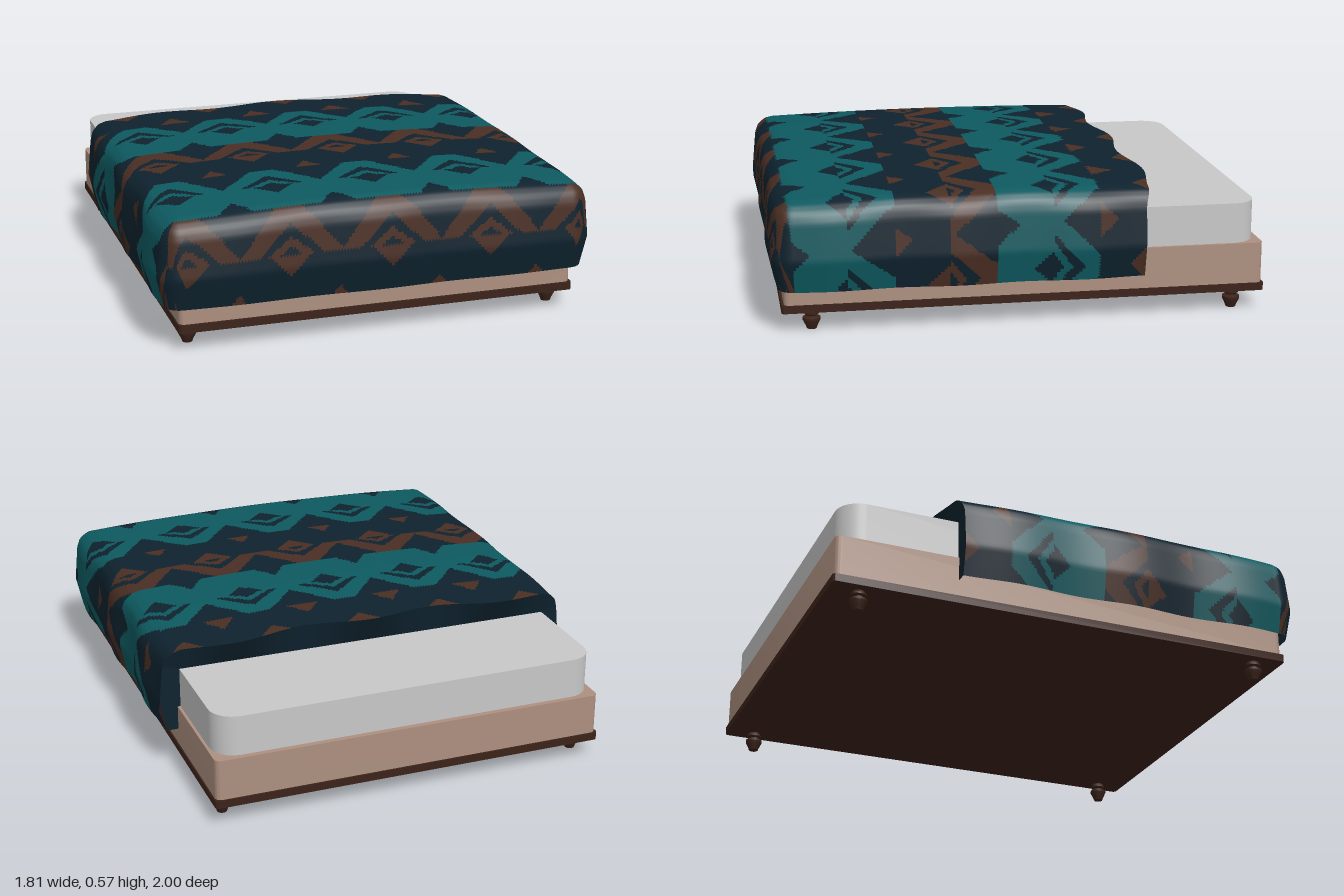
import * as THREE from 'three';
import { toCreasedNormals } from 'three/addons/utils/BufferGeometryUtils.js';

const mat = (name, color, side = THREE.FrontSide) => {
  const m = new THREE.MeshStandardMaterial({ color, side });
  m.name = name;
  return m;
};

// Upright slab with rounded corners in plan
function slab(name, material, halfX, z0, z1, y0, y1, r) {
  const s = new THREE.Shape();
  const h = (z1 - z0) / 2, w = halfX;
  s.moveTo(-w + r, -h);
  s.lineTo(w - r, -h);
  s.absarc(w - r, -h + r, r, -Math.PI / 2, 0);
  s.absarc(w - r, h - r, r, 0, Math.PI / 2);
  s.absarc(-w + r, h - r, r, Math.PI / 2, Math.PI);
  s.absarc(-w + r, -h + r, r, Math.PI, Math.PI * 1.5);
  let g = new THREE.ExtrudeGeometry(s, { depth: y1 - y0, bevelEnabled: false, curveSegments: 6 });
  g.rotateX(-Math.PI / 2);
  g = toCreasedNormals(g, 0.6);
  const m = new THREE.Mesh(g, material);
  m.position.set(0, y0, (z0 + z1) / 2);
  m.name = name;
  return m;
}

// Blanket layout: flat core, then an overhang of DROP on three sides
const CORE_X = 0.8, CORE_Z = 0.9, HEAD = -0.53, DROP = 0.4;
// overhang profile: distance along cloth, outward offset, fall
const PROFILE = [[0, 0, 0], [0.04, 0.038, 0.012], [0.08, 0.07, 0.04], [0.12, 0.085, 0.08],
  [0.27, 0.1, 0.24], [0.4, 0.073, 0.37]];

function overhang(r) {
  let k = 1;
  while (k < PROFILE.length - 1 && r > PROFILE[k][0]) k++;
  const a = PROFILE[k - 1], b = PROFILE[k];
  const t = (r - a[0]) / (b[0] - a[0]);
  return [a[1] + (b[1] - a[1]) * t, a[2] + (b[2] - a[2]) * t];
}

// Position of the cloth point (u across, s from head to foot)
function drape(u, s) {
  const ou = Math.max(Math.abs(u) - CORE_X, 0), os = Math.max(s - CORE_Z, 0);
  const r = Math.max(ou, os);
  const cx = Math.sign(u) * Math.min(Math.abs(u), CORE_X);
  let cz = Math.min(s, CORE_Z);
  // wavy head edge, straight on the hanging sides
  const side = THREE.MathUtils.smoothstep(ou, 0.02, 0.12);
  const wave = -0.525 - 0.02 * Math.cos((2 * Math.PI * cx) / 0.57);
  const edge = wave * (1 - side) - 0.49 * side;
  cz += (edge - HEAD) * Math.max(0, 1 - (s - HEAD) / 0.3);
  const top = 0.57 - 0.024 * (cx / CORE_X) ** 2 - 0.013 * ((cz - 0.12) / 0.75) ** 2;
  if (r === 0) return [cx, top, cz];
  let [out, fall] = overhang(r);
  const ang = Math.atan2(os, ou);
  // soft folds along the sides and foot
  const f = Math.min(r / 0.12, 1) * 0.008;
  const foldX = f * (Math.cos(4 * Math.PI * (cz - 0.25)) - 0.4);
  const foldZ = f * 0.5 * (Math.cos((2 * Math.PI * cx) / 0.57) - 0.6);
  const y = top + (0.18 - top) * (fall / 0.37);
  return [cx + Math.sign(u) * Math.cos(ang) * (out + foldX), y, cz + Math.sin(ang) * (out + foldZ)];
}

// Woven pattern: 0 navy, 1 teal, 2 brown
const ROWS = [-0.73, -0.31, 0.11, 0.51, 0.93, 1.35];
function pattern(u, s) {
  let k = 0;
  while (k < 4 && s >= ROWS[k + 1]) k++;
  const teal = k % 2 === 1, fg = teal ? 1 : 2;
  const d = s - ROWS[k];
  const period = 0.37 + 0.04 * THREE.MathUtils.clamp((s + 0.1) / 1.1, 0, 1);
  const q = (u - 0.03) / period;
  const a = Math.abs(q - Math.round(q)) * period;
  if (d < 0.19) {
    // chevron with a small hollow peak beneath it
    if (a < 0.05 + d * 0.85 && a > (d - 0.07) * 1.1) return fg;
    if (a < (d - 0.12) * 1.4 && a > (d - 0.155) * 1.4) return fg;
    return 0;
  }
  const lowerPeak = a < 0.08 * (1 - (d - 0.19) / 0.08);
  const triangle = d > 0.33 && period / 2 - a < (d - 0.33) * 0.75;
  if (lowerPeak || triangle) return teal ? 0 : 2;
  return teal ? 1 : 0;
}

function makeBlanket(materials) {
  const nu = 192, ns = 146, uMax = CORE_X + DROP, sMax = CORE_Z + DROP;
  const pos = [], faces = [[], [], []];
  const uAt = (i) => -uMax + (2 * uMax * i) / nu;
  const sAt = (j) => HEAD + ((sMax - HEAD) * j) / ns;
  for (let j = 0; j <= ns; j++)
    for (let i = 0; i <= nu; i++) pos.push(...drape(uAt(i), sAt(j)));
  const id = (i, j) => j * (nu + 1) + i;
  const tri = (...c) => {
    const u = c.reduce((t, p) => t + uAt(p[0]), 0) / 3;
    const s = c.reduce((t, p) => t + sAt(p[1]), 0) / 3;
    faces[pattern(u, s)].push(...c.map((p) => id(...p)));
  };
  for (let j = 0; j < ns; j++)
    for (let i = 0; i < nu; i++) {
      tri([i, j], [i, j + 1], [i + 1, j]);
      tri([i + 1, j], [i, j + 1], [i + 1, j + 1]);
    }
  const g = new THREE.BufferGeometry();
  g.setAttribute('position', new THREE.Float32BufferAttribute(pos, 3));
  g.setIndex(faces.flat());
  let start = 0;
  faces.forEach((f, k) => {
    g.addGroup(start, f.length, k);
    start += f.length;
  });
  g.computeVertexNormals();
  const cloth = new THREE.Mesh(g, materials);
  cloth.name = 'blanketCloth';

  // turned-in hem at the head end
  const hp = [], hi = [];
  for (let i = 0; i <= nu; i++) {
    const [x, y, z] = drape(uAt(i), HEAD);
    hp.push(x, y, z, THREE.MathUtils.clamp(x, -0.8, 0.8), Math.min(y, 0.445), -0.49);
    if (i < nu) hi.push(2 * i, 2 * i + 2, 2 * i + 1, 2 * i + 1, 2 * i + 2, 2 * i + 3);
  }
  const hg = new THREE.BufferGeometry();
  hg.setAttribute('position', new THREE.Float32BufferAttribute(hp, 3));
  hg.setIndex(hi);
  hg.computeVertexNormals();
  const hem = new THREE.Mesh(hg, materials[0]);
  hem.name = 'blanketHem';

  const group = new THREE.Group();
  group.name = 'blanket';
  group.add(cloth, hem);
  return group;
}

export function createModel() {
  const model = new THREE.Group();
  model.name = 'bed';
  const beige = mat('beigeUpholstery', 0xad9080);
  const wood = mat('darkWood', 0x3c231a);
  const white = mat('mattressWhite', 0xc8c8c8);
  const cloth = [
    mat('navyCloth', 0x0e222e, THREE.DoubleSide),
    mat('tealCloth', 0x0d5a60, THREE.DoubleSide),
    mat('brownCloth', 0x4a2e23, THREE.DoubleSide),
  ];

  // base, mattress and blanket
  model.add(slab('baseBoard', wood, 0.82, -1, 0.955, 0.08, 0.112, 0.015));
  model.add(slab('boxBase', beige, 0.815, -0.993, 0.945, 0.112, 0.28, 0.025));
  model.add(slab('mattress', white, 0.803, -0.97, 0.92, 0.28, 0.445, 0.1));
  model.add(makeBlanket(cloth));

  // turned feet
  const outline = [[0, 0], [0.02, 0], [0.024, 0.012], [0.036, 0.036], [0.036, 0.046], [0.022, 0.052],
    [0.022, 0.056], [0.031, 0.062], [0.031, 0.07], [0.022, 0.082]].map((p) => new THREE.Vector2(...p));
  const footGeo = toCreasedNormals(new THREE.LatheGeometry(outline, 12), 0.6);
  for (const x of [-0.76, 0.76])
    for (const z of [-0.88, 0.835]) {
      const foot = new THREE.Mesh(footGeo, wood);
      foot.position.set(x, 0, z);
      foot.name = 'foot';
      model.add(foot);
    }
  return model;
}
